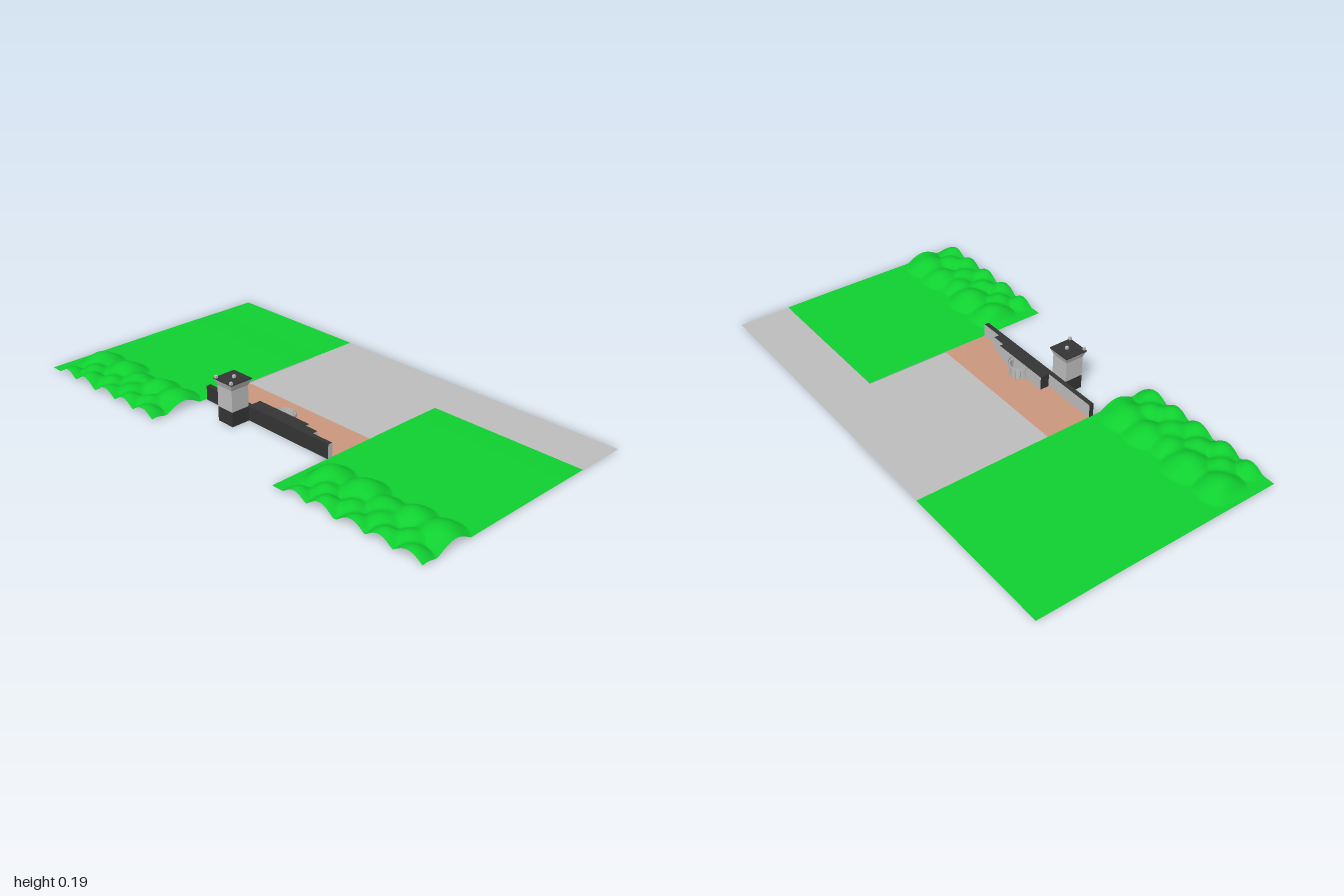
import * as THREE from 'three';

const mat = (name, color, side = THREE.FrontSide) => {
  const m = new THREE.MeshStandardMaterial({ color, side });
  m.name = name;
  return m;
};

export function createModel() {
  const root = new THREE.Group();
  const concrete = mat('concrete grey', 0xbdbdbd, THREE.DoubleSide);
  const roof = mat('dark roof', 0x343434);
  const grass = mat('grass green', 0x0fd030, THREE.DoubleSide);
  const clay = mat('terracotta paving', 0xcb967d, THREE.DoubleSide);

  const add = (name, geo, material, x = 0, y = 0, z = 0, parent = root) => {
    const m = new THREE.Mesh(geo, material);
    m.name = name;
    m.position.set(x, y, z);
    parent.add(m);
    return m;
  };
  // Box given by its limits
  const box = (name, [x0, x1], [y0, y1], [z0, z1], material, parent = root) =>
    add(name, new THREE.BoxGeometry(x1 - x0, y1 - y0, z1 - z0), material,
      (x0 + x1) / 2, (y0 + y1) / 2, (z0 + z1) / 2, parent);
  // Flat paving between limits
  const sheet = (name, [x0, x1], [z0, z1], y, material) =>
    add(name, new THREE.PlaneGeometry(x1 - x0, z1 - z0).rotateX(-Math.PI / 2), material,
      (x0 + x1) / 2, y, (z0 + z1) / 2);

  // Paved areas
  sheet('apron', [-0.26, 0.31], [-0.333, 0.333], 0, concrete);
  sheet('runway', [0.31, 0.53], [-1, 1], 0, concrete);
  sheet('forecourt', [-0.25, -0.05], [-0.333, 0.333], 0.002, clay);

  // Hills: x, distance along the field, radius, height
  const hills = [
    [-0.36, 0.08, 0.10, 0.043], [-0.35, 0.20, 0.09, 0.040], [-0.37, 0.31, 0.08, 0.036],
    [-0.35, 0.42, 0.10, 0.047], [-0.36, 0.57, 0.10, 0.045], [-0.45, 0.12, 0.07, 0.036],
    [-0.44, 0.25, 0.08, 0.034], [-0.45, 0.37, 0.07, 0.034], [-0.44, 0.50, 0.07, 0.036],
    [-0.51, 0.06, 0.07, 0.034], [-0.50, 0.18, 0.07, 0.041], [-0.51, 0.30, 0.07, 0.036],
    [-0.50, 0.44, 0.07, 0.042], [-0.51, 0.56, 0.06, 0.030], [-0.38, 0.01, 0.08, 0.030],
  ];
  const height = (x, t) => {
    let sum = 0;
    for (const [hx, ht, r, h] of hills) {
      const q = ((x - hx) ** 2 + (t - ht) ** 2) / (r * r);
      if (q < 1) sum += (h * (1 - q) ** 1.3) ** 3;
    }
    const base = 0.004 - 0.0025 * THREE.MathUtils.smoothstep(x, 0.1, 0.45);
    const fade = THREE.MathUtils.smoothstep(0.667 - t, 0, 0.08);
    return base + Math.cbrt(sum) * fade;
  };
  // Grass field: dense columns over the hills, few over the flat
  const field = (name, zFront, xEnd) => {
    const nx = 64, nz = 72, hillCols = 52, depth = 0.667;
    const geo = new THREE.PlaneGeometry(1, 1, nx, nz);
    const p = geo.attributes.position;
    for (let j = 0; j <= nz; j++) for (let i = 0; i <= nx; i++) {
      const x = i <= hillCols ? -0.53 + 0.29 * i / hillCols
        : -0.24 + (xEnd + 0.24) * (i - hillCols) / (nx - hillCols);
      const t = depth * (1 - j / nz);
      p.setXYZ(j * (nx + 1) + i, x, height(x, t), zFront - t);
    }
    geo.computeVertexNormals();
    add(name, geo, grass);
  };
  field('frontField', 1, 0.31);
  field('backField', -0.333, 0.53);

  // Terminal: pale facade, dark roof and rear (+x, -x, +y, -y, +z, -z)
  const shell = [concrete, roof, roof, roof, concrete, roof];
  const terminal = new THREE.Group();
  terminal.name = 'terminal';
  root.add(terminal);
  box('longWall', [-0.265, -0.245], [0, 0.06], [-0.333, 0.333], shell, terminal);
  box('mainHall', [-0.245, -0.205], [0, 0.06], [-0.09, 0.175], shell, terminal);
  box('sideHall', [-0.245, -0.222], [0, 0.06], [0.175, 0.235], shell, terminal);

  // Curved entrance, open at the top
  const arc = (name, r, y0, y1) => add(name,
    new THREE.CylinderGeometry(r, r, y1 - y0, 24, 1, true, 0, Math.PI),
    concrete, -0.207, (y0 + y1) / 2, 0.042, terminal);
  arc('entranceWall', 0.04, 0, 0.05);
  arc('entranceBand', 0.048, 0.048, 0.058);
  for (let i = 0; i < 7; i++) {
    const a = Math.PI * (i + 0.5) / 7;
    add('entranceColumn', new THREE.CylinderGeometry(0.003, 0.003, 0.05, 8), concrete,
      -0.207 + 0.044 * Math.sin(a), 0.025, 0.042 + 0.044 * Math.cos(a), terminal);
  }

  // Control tower
  const tower = new THREE.Group();
  tower.name = 'controlTower';
  tower.position.set(-0.305, 0, -0.127);
  root.add(tower);
  box('towerBase', [-0.04, 0.04], [0, 0.06], [-0.04, 0.04], roof, tower);
  box('towerShaft', [-0.04, 0.04], [0.06, 0.147], [-0.04, 0.04], concrete, tower);
  const cab = new THREE.CylinderGeometry(0.05 * Math.SQRT2, 0.04 * Math.SQRT2, 0.028, 4, 1, true)
    .rotateY(Math.PI / 4).toNonIndexed();
  cab.computeVertexNormals();
  add('towerCab', cab, concrete, 0, 0.161, 0, tower);
  box('towerRoof', [-0.05, 0.05], [0.172, 0.176], [-0.05, 0.05], roof, tower);
  for (const [x, z] of [[-0.045, 0.045], [-0.045, -0.04], [0.005, 0.003]])
    box('roofPost', [x - 0.005, x + 0.005], [0.176, 0.187], [z - 0.005, z + 0.005], concrete, tower);

  return root;
}
